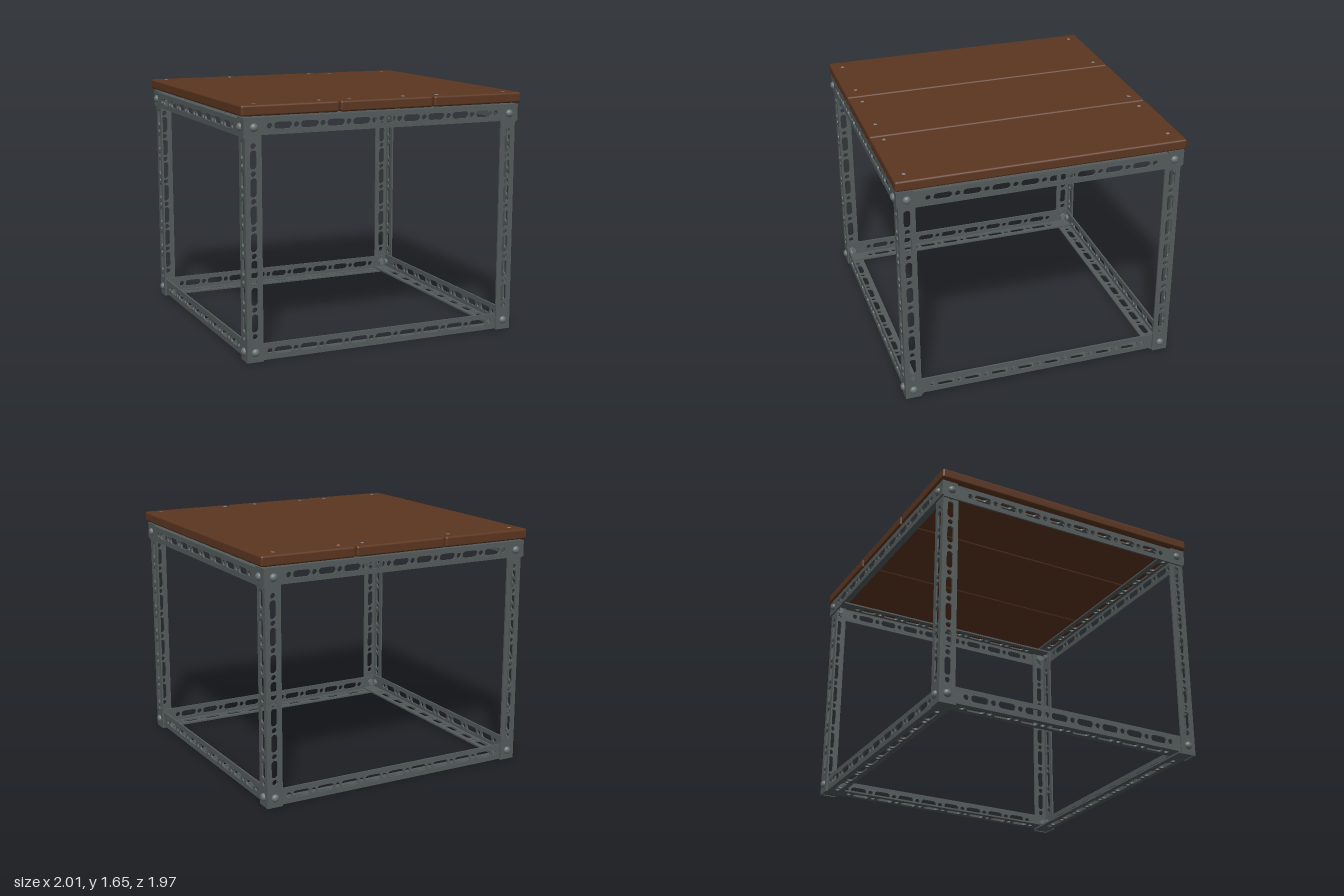
import * as THREE from 'three';
import { mergeGeometries } from 'three/addons/utils/BufferGeometryUtils.js';
import { RoundedBoxGeometry } from 'three/addons/geometries/RoundedBoxGeometry.js';

const W = 0.11; // flange width
const T = 0.012; // flange thickness
const HX = 0.97, HZ = 0.95; // outer half sizes of the leg frame
const LEG = 1.55;

function material(name, color) {
  const m = new THREE.MeshStandardMaterial({ color });
  m.name = name;
  return m;
}

// Evenly spaced slot centres
const row = (start, pitch, count) => Array.from({ length: count }, (_, i) => start + i * pitch);
const centred = (pitch, count) => row(-pitch * (count - 1) / 2, pitch, count);

// Perforated strip along x: long slots with a round hole on both sides of each
function strip(length, slots) {
  const s = new THREE.Shape();
  s.moveTo(-length / 2, 0);
  s.lineTo(length / 2, 0);
  s.lineTo(length / 2, W);
  s.lineTo(-length / 2, W);
  s.closePath();
  const r = 0.022, half = 0.038, pitch = slots[1] - slots[0];
  for (const c of slots) {
    const p = new THREE.Path();
    p.absarc(c + half, W / 2, r, -Math.PI / 2, Math.PI / 2, false);
    p.absarc(c - half, W / 2, r, Math.PI / 2, Math.PI * 1.5, false);
    p.closePath();
    s.holes.push(p);
  }
  for (const c of [slots[0] - pitch, ...slots]) {
    const p = new THREE.Path();
    p.absarc(c + pitch / 2, W / 2, 0.018, 0, Math.PI * 2, false);
    s.holes.push(p);
  }
  return new THREE.ExtrudeGeometry(s, { depth: T, bevelEnabled: false, curveSegments: 8 });
}

// L-section along x, outer corner on the axis, one flange facing +z and one facing -y
function angleIron(length, slotsA, slotsB = slotsA) {
  const a = strip(length, slotsA).translate(0, 0, -T);
  const b = strip(length, slotsB).rotateX(-Math.PI / 2);
  return mergeGeometries([a, b]);
}

export function createModel() {
  const model = new THREE.Group();
  model.name = 'table';
  const wood = material('brown wood', 0x5c3620);
  const metal = material('dark steel', 0x545b5b);
  const boltSteel = material('bolt steel', 0x677073);
  const nailSteel = material('nail steel', 0x858585);

  const add = (parent, name, geometry, mat, x = 0, y = 0, z = 0) => {
    const mesh = new THREE.Mesh(geometry, mat);
    mesh.name = name;
    mesh.position.set(x, y, z);
    parent.add(mesh);
    return mesh;
  };

  // Table top planks
  const plank = new RoundedBoxGeometry(0.66, 0.07, 1.94, 3, 0.014);
  for (const i of [-1, 0, 1]) add(model, 'plank', plank, wood, i * 0.67, 1.61, 0);

  // Nail heads along both ends of the planks
  const nail = new THREE.BoxGeometry(0.02, 0.006, 0.02);
  const nailRows = [
    [-0.885, [-0.91, -0.41, 0.245, 0.42, 0.88]],
    [0.89, [-0.89, -0.45, -0.24, 0.15, 0.395, 0.905]],
  ];
  for (const [z, xs] of nailRows) for (const x of xs) add(model, 'nail', nail, nailSteel, x, 1.645, z);

  // Legs, rails and bolts, one side of the frame at a time
  const frontLegSlots = row(0.257, 0.174, 7).map((y) => y - LEG / 2);
  const sideLegSlots = row(0.248, 0.186, 7).map((y) => y - LEG / 2);
  const dome = new THREE.SphereGeometry(0.027, 16, 6, 0, Math.PI * 2, 0, Math.PI / 2)
    .scale(1, 0.8, 1).rotateX(Math.PI / 2);
  const nut = new THREE.CylinderGeometry(0.028, 0.028, 0.022, 6).rotateX(Math.PI / 2);

  for (let k = 0; k < 4; k++) {
    const odd = k % 2 === 1;
    const out = odd ? HX : HZ; // distance of this side from the centre
    const half = odd ? HZ : HX; // half length of this side
    const slots = odd ? centred(0.19, 8) : centred(0.18, 9);
    const side = new THREE.Group();
    side.name = ['frontSide', 'leftSide', 'backSide', 'rightSide'][k];
    side.rotation.y = k * Math.PI / 2;
    model.add(side);

    // Corner leg
    const legGeometry = odd
      ? angleIron(LEG, sideLegSlots, frontLegSlots)
      : angleIron(LEG, frontLegSlots, sideLegSlots);
    add(side, 'leg', legGeometry, metal, half, LEG / 2, out).rotation.z = Math.PI / 2;

    // Bottom rail sits inside the legs, top rail wraps outside them
    const bottomLength = 2 * (half - (odd ? 2 : 1) * T);
    add(side, 'bottomRail', angleIron(bottomLength, slots), metal, 0, odd ? 0.005 + T : 0.005, out - T);
    const topLength = 2 * (odd ? half : half + T);
    add(side, 'topRail', angleIron(topLength, slots), metal, 0, odd ? 1.566 - T : 1.566, out + T)
      .rotation.z = Math.PI;

    // Bolts with nuts on the inside
    for (const sx of [-1, 1]) {
      const x = sx * (half - W / 2);
      add(side, 'bolt', dome, boltSteel, x, 1.505, out + T);
      add(side, 'bolt', dome, boltSteel, x, 0.065, out);
      add(side, 'nut', nut, boltSteel, x, 1.505, out - T - 0.01);
      add(side, 'nut', nut, boltSteel, x, 0.065, out - 2 * T - 0.01);
    }
  }
  return model;
}
